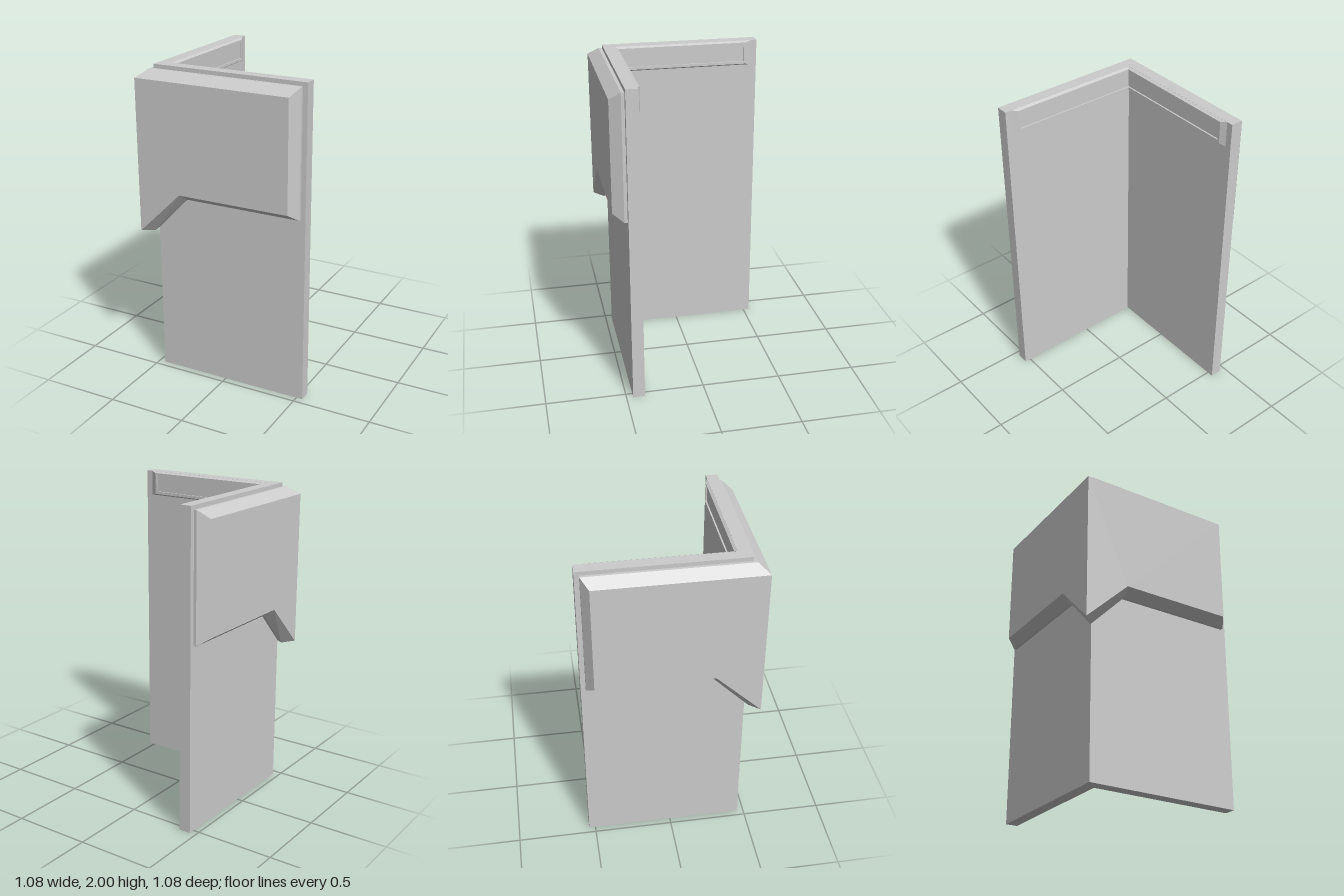
import * as THREE from 'three';

const material = new THREE.MeshStandardMaterial({ color: 0xcccccc, flatShading: true });

// Joins outline loops into one skin and caps the last loop with a fan from its first point.
// Edges lying on the mitre plane x = -z stay open, since the mirrored half meets them there.
function loft(loops, flip) {
  const out = [];
  const tri = (a, b, c) => out.push(...a, ...(flip ? [...c, ...b] : [...b, ...c]));
  const onMitre = (p) => Math.abs(p[0] + p[2]) < 1e-6;
  for (let k = 0; k < loops.length - 1; k++) {
    const a = loops[k], b = loops[k + 1];
    a.forEach((p, i) => {
      const j = (i + 1) % a.length;
      if (onMitre(p) && onMitre(a[j])) return;
      tri(p, a[j], b[j]);
      tri(p, b[j], b[i]);
    });
  }
  const cap = loops[loops.length - 1];
  for (let i = 1; i < cap.length - 1; i++) tri(cap[0], cap[i], cap[i + 1]);
  const geometry = new THREE.BufferGeometry();
  geometry.setAttribute('position', new THREE.Float32BufferAttribute(out, 3));
  geometry.computeVertexNormals();
  return geometry;
}

// Cladding outline at depth z: notch, right bottom, right top, corner top, corner bottom
const claddingLoop = (z, right, top, bottom, notchX, cornerY) => [
  [notchX, bottom, z], [right, bottom, z], [right, top, z], [-z, top, z], [-z, cornerY, z],
];

// Trim outline at depth z
const trimLoop = (z, right, top, bottom) => [
  [right, bottom, z], [right, top, z], [-z, top, z], [-z, bottom, z],
];

export function createModel() {
  const group = new THREE.Group();
  const add = (geometry, name) => {
    const mesh = new THREE.Mesh(geometry, material);
    mesh.name = name;
    group.add(mesh);
  };

  // L-shaped corner wall, drawn in plan (shape y = -z) and raised
  const plan = new THREE.Shape([
    [-0.46, -0.458], [0.54, -0.458], [0.54, -0.383], [-0.385, -0.383], [-0.385, 0.54], [-0.46, 0.54],
  ].map(([x, y]) => new THREE.Vector2(x, y)));
  add(new THREE.ExtrudeGeometry(plan, { depth: 2, bevelEnabled: false }).rotateX(-Math.PI / 2), 'cornerWall');

  // The second wing is the first one reflected across the corner's mitre plane
  const mirror = (loops) => loops.map((l) => l.map(([x, y, z]) => [-z, y, -x]));

  // Bevelled outer cladding with a sloped bracket at the corner
  const cladding = [
    claddingLoop(0.455, 0.51, 1.975, 1.19, -0.245, 0.97),
    claddingLoop(0.478, 0.51, 1.975, 1.19, -0.245, 0.948),
    claddingLoop(0.543, 0.465, 1.925, 1.235, -0.258, 0.956),
  ];
  add(loft(cladding, false), 'frontCladding');
  add(loft(mirror(cladding), true), 'sideCladding');

  // Inner top trim with bevelled rim and a shallow recessed panel
  const trim = [
    trimLoop(0.384, 0.5, 2, 1.84),
    trimLoop(0.366, 0.462, 1.99, 1.85),
    trimLoop(0.366, 0.45, 1.98, 1.867),
    trimLoop(0.376, 0.45, 1.98, 1.867),
  ];
  add(loft(trim, true), 'frontWallTrim');
  add(loft(mirror(trim), false), 'sideWallTrim');

  return group;
}
